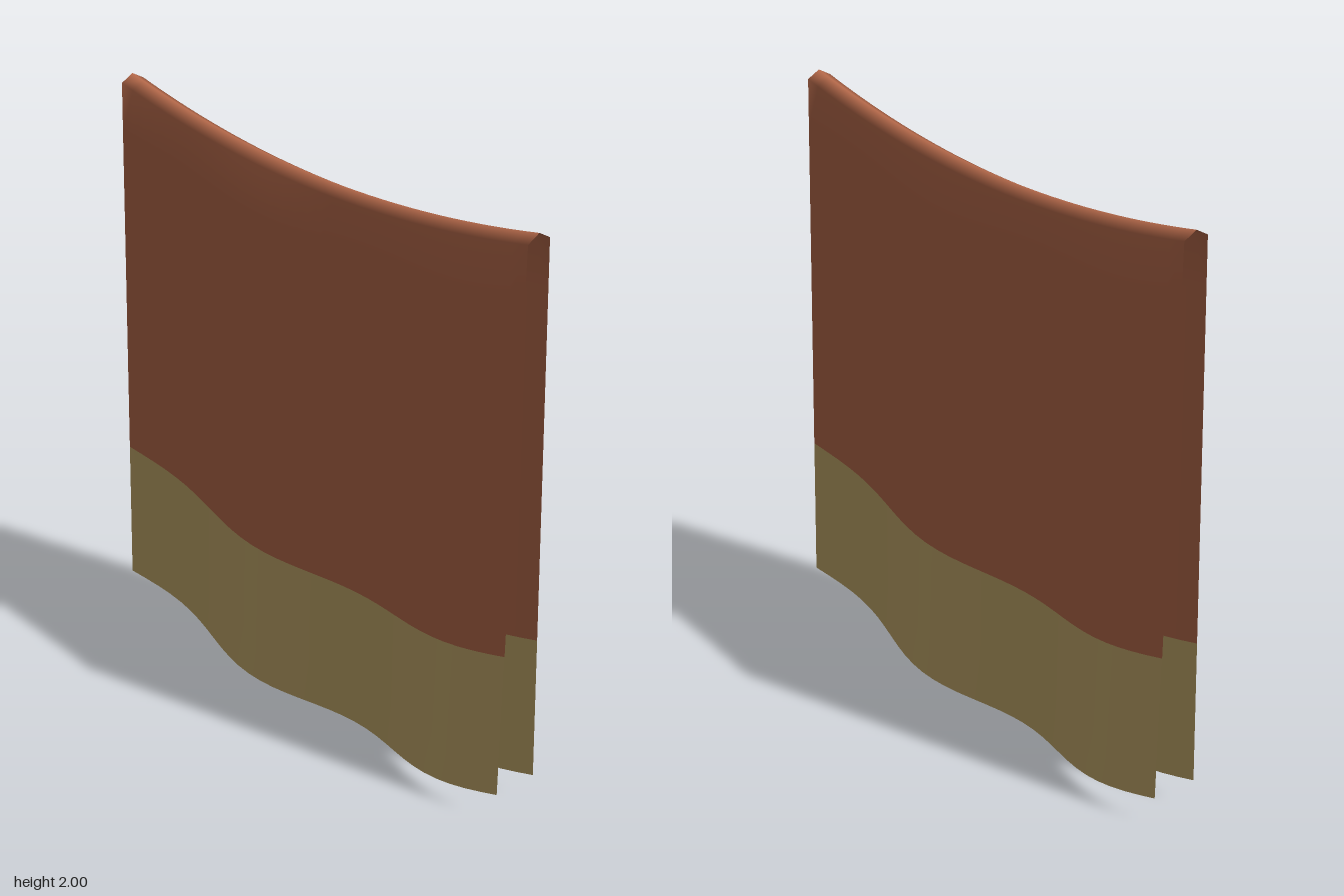
import * as THREE from 'three';

const HALF_WIDTH = 0.945;
const COLUMNS = 32;
const ROWS = 11; // rows per hanging side
const HEM_ROWS = 3; // lowest rows carry the contrasting band
const FOLD_DROP = 0.025;
const DROP = 1.9;

// Point on the draped cloth: u runs -1..1 across, j runs front hem -> fold -> back hem
function clothPoint(u, j) {
  const ridge = 1.9 + 0.1 * u * u;
  const step = ROWS + 1 - j; // positive in front, 0 on the fold, negative behind
  if (step === 0) return [u * HALF_WIDTH, ridge, 0];
  const side = Math.sign(step);
  const t = (Math.abs(step) - 1) / ROWS;
  const ripple = -0.0375 * Math.sin(2 * Math.PI * u);
  const y = ridge - FOLD_DROP - t * (DROP - FOLD_DROP);
  return [u * HALF_WIDTH, y, side * (0.045 + 0.0375 * t) + ripple * t];
}

export function createModel() {
  const rust = new THREE.MeshStandardMaterial({ color: 0xb5694a, side: THREE.DoubleSide });
  rust.name = 'rustCloth';
  const khaki = new THREE.MeshStandardMaterial({ color: 0xc2a86a, side: THREE.DoubleSide });
  khaki.name = 'khakiBand';

  const lastRow = 2 * (ROWS + 1);
  const positions = [];
  for (let j = 0; j <= lastRow; j++) {
    for (let i = 0; i <= COLUMNS; i++) positions.push(...clothPoint((2 * i) / COLUMNS - 1, j));
  }

  // Main cloth faces and hem band faces, sharing vertices for smooth shading
  const main = [];
  const hem = [];
  for (let j = 0; j < lastRow; j++) {
    const target = j < HEM_ROWS || j >= lastRow - HEM_ROWS ? hem : main;
    for (let i = 0; i < COLUMNS; i++) {
      const a = j * (COLUMNS + 1) + i;
      const d = a + COLUMNS + 1;
      target.push(a, a + 1, d + 1, a, d + 1, d);
    }
  }

  const geometry = new THREE.BufferGeometry();
  geometry.setAttribute('position', new THREE.Float32BufferAttribute(positions, 3));
  geometry.setIndex([...main, ...hem]);
  geometry.addGroup(0, main.length, 0);
  geometry.addGroup(main.length, hem.length, 1);
  geometry.computeVertexNormals();

  const cloth = new THREE.Mesh(geometry, [rust, khaki]);
  cloth.name = 'drapedCloth';

  const group = new THREE.Group();
  group.name = 'hangingBlanket';
  group.add(cloth);
  return group;
}
